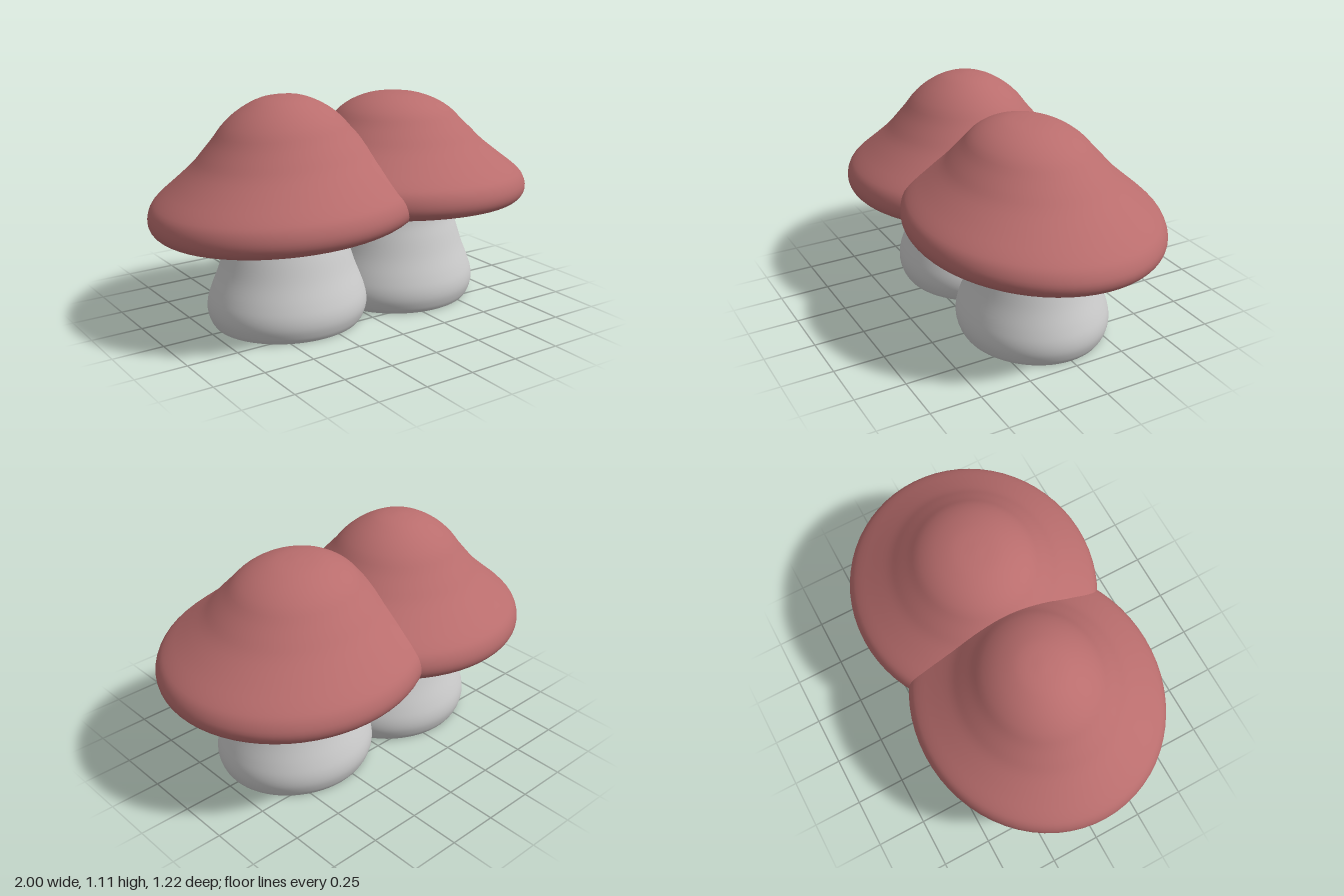
import * as THREE from 'three';
import { mergeVertices } from 'three/addons/utils/BufferGeometryUtils.js';

const STRETCH = 1.09; // plan is a little wider in x than in z
const red = new THREE.MeshStandardMaterial({ color: 0xb96d6d, side: THREE.DoubleSide });
const grey = new THREE.MeshStandardMaterial({ color: 0xcccccc, side: THREE.DoubleSide });

// Turned surface; smooth profiles are splined through their points
function turned(points, smooth) {
  let profile = points.map(([r, y]) => new THREE.Vector2(r, y));
  if (smooth) profile = new THREE.SplineCurve(profile).getPoints(40);
  profile.forEach((p) => { p.x = Math.max(p.x, 0); });
  return new THREE.LatheGeometry(profile, 64);
}

// Stretches a turned surface, then applies a lean and a pushed-over dome
function finish(geometry, bend) {
  const pos = geometry.attributes.position;
  for (let i = 0; i < pos.count; i++) {
    let x = pos.getX(i) * STRETCH, y = pos.getY(i), z = pos.getZ(i);
    if (bend) {
      const t = Math.max(0, (y - 0.58) / 0.525);
      y += bend.lift + bend.slopeX * x + bend.slopeZ * z - bend.flatten * t ** 4;
      x += bend.shiftX * t;
      z += bend.shiftZ * t;
    }
    pos.setXYZ(i, x, y, z);
  }
  geometry.deleteAttribute('normal');
  geometry.deleteAttribute('uv');
  const merged = mergeVertices(geometry, 1e-5);
  merged.computeVertexNormals();
  return merged;
}

const capProfile = [
  [0.53, 0.5], [0.575, 0.51], [0.603, 0.54], [0.61, 0.582], [0.595, 0.63], [0.56, 0.67],
  [0.49, 0.73], [0.41, 0.802], [0.36, 0.86], [0.31, 0.92], [0.26, 0.985], [0.19, 1.045],
  [0.1, 1.091], [0, 1.105],
];
const undersideProfile = [[0.2, 0.445], [0.255, 0.453], [0.53, 0.5]];
const stemProfile = [
  [0.338, 0], [0.352, 0.025], [0.364, 0.07], [0.362, 0.12], [0.345, 0.18], [0.312, 0.27],
  [0.285, 0.36], [0.264, 0.43], [0.255, 0.49],
];
const footProfile = [[0.245, 0], [0.338, 0]];
const hollowProfile = [[0.2, 0.45], [0.225, 0.25], [0.245, 0]];

function mushroom(name, x, bend) {
  const group = new THREE.Group();
  group.name = name;
  const add = (part, geometry, material, bent) => {
    const mesh = new THREE.Mesh(finish(geometry, bent), material);
    mesh.name = part;
    group.add(mesh);
  };
  add('cap', turned(capProfile, true), red, bend);
  add('capUnderside', turned(undersideProfile, false), grey, bend);
  add('stem', turned(stemProfile, true), grey);
  add('stemFoot', turned(footProfile, false), grey);
  add('stemHollow', turned(hollowProfile, true), grey);
  group.position.x = x;
  return group;
}

export function createModel() {
  const model = new THREE.Group();
  model.name = 'mushroomPair';
  // Tall mushroom on the -x side, flatter one on the +x side
  model.add(mushroom('tallMushroom', -0.335,
    { lift: 0, slopeX: 0.05, slopeZ: 0.015, flatten: 0, shiftX: -0.02, shiftZ: -0.005 }));
  model.add(mushroom('flatMushroom', 0.335,
    { lift: 0.013, slopeX: -0.04, slopeZ: 0.04, flatten: 0.053, shiftX: -0.045, shiftZ: 0.01 }));
  return model;
}
